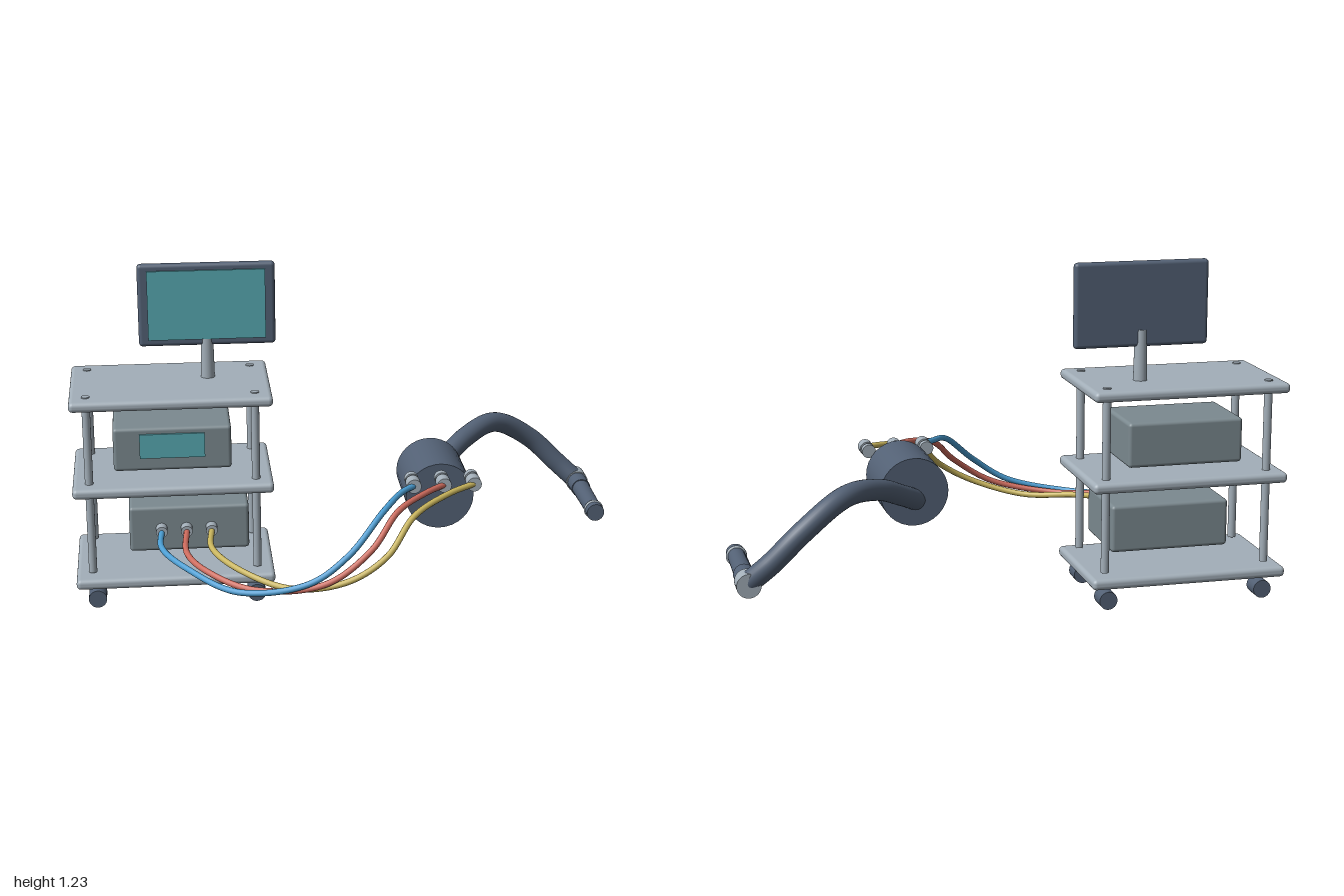
import * as THREE from 'three';
import { RoundedBoxGeometry } from 'three/addons/geometries/RoundedBoxGeometry.js';

const material = (name, color) => {
  const m = new THREE.MeshStandardMaterial({ color });
  m.name = name;
  return m;
};

export function createModel() {
  const model = new THREE.Group();
  model.name = 'equipmentCartWithArm';

  const lightMetal = material('lightMetal', 0xa3afb9);
  const darkMetal = material('darkMetal', 0x536175);
  const casing = material('casing', 0x7c8a90);
  const display = material('display', 0x58a9b2);
  const blue = material('blueCable', 0x4a9dd2);
  const red = material('redCable', 0xcc6a5c);
  const yellow = material('yellowCable', 0xc8b45c);

  const add = (name, geometry, mat, x = 0, y = 0, z = 0, parent = model) => {
    const mesh = new THREE.Mesh(geometry, mat);
    mesh.name = name;
    mesh.position.set(x, y, z);
    parent.add(mesh);
    return mesh;
  };
  const group = (name) => {
    const g = new THREE.Group();
    g.name = name;
    model.add(g);
    return g;
  };
  // Box given by its limits on each axis
  const box = (name, mat, [x0, x1], [y0, y1], [z0, z1], r, parent) => add(name,
    r ? new RoundedBoxGeometry(x1 - x0, y1 - y0, z1 - z0, 3, r) : new THREE.BoxGeometry(x1 - x0, y1 - y0, z1 - z0),
    mat, (x0 + x1) / 2, (y0 + y1) / 2, (z0 + z1) / 2, parent);
  // Cylinder along z from z0 (back) to z1 (front)
  const rod = (name, mat, x, y, z0, z1, rBack, rFront = rBack, parent = model) => add(name,
    new THREE.CylinderGeometry(rFront, rBack, z1 - z0, 32).rotateX(Math.PI / 2), mat, x, y, (z0 + z1) / 2, parent);
  const tube = (name, mat, points, radius, sides) => add(name,
    new THREE.TubeGeometry(new THREE.CatmullRomCurve3(points.map((p) => new THREE.Vector3(...p))), 80, radius, sides), mat);

  // Cart frame: shelves, posts and casters
  const cart = group('cart');
  for (const [name, y0, y1] of [['bottomShelf', 0.083, 0.122], ['middleShelf', 0.435, 0.473], ['topShelf', 0.764, 0.801]])
    box(name, lightMetal, [-1, -0.275], [y0, y1], [-0.386, 0.076], 0.016, cart);
  for (const z of [0.008, -0.318]) {
    for (const x of [-0.94, -0.337])
      add('post', new THREE.CylinderGeometry(0.015, 0.015, 0.675, 24), lightMetal, x, 0.4675, z, cart);
    for (const x of [-0.926, -0.342])
      rod('caster', darkMetal, x, 0.033, z - 0.035, z + 0.035, 0.033, 0.033, cart);
  }

  // Monitor on its stand
  const monitor = group('monitor');
  box('monitorBody', darkMetal, [-0.744, -0.247], [0.924, 1.231], [-0.213, -0.181], 0.014, monitor);
  box('monitorScreen', display, [-0.71, -0.283], [0.95, 1.207], [-0.182, -0.174], 0, monitor);
  add('monitorStand', new THREE.CylinderGeometry(0.022, 0.0255, 0.185, 32), lightMetal, -0.497, 0.8925, -0.197, monitor);

  // Two instrument units
  const units = group('instrumentUnits');
  box('upperUnit', casing, [-0.85, -0.423], [0.505, 0.668], [-0.31, -0.019], 0.013, units);
  box('upperUnitDisplay', display, [-0.755, -0.519], [0.555, 0.646], [-0.02, -0.011], 0, units);
  box('lowerUnit', casing, [-0.802, -0.365], [0.196, 0.368], [-0.307, -0.004], 0.013, units);

  // Cables from the lower unit to the drum
  const cables = [
    ['blueCable', blue, -0.685, 0.211, [[-0.687, 0.265, 0.134], [-0.6, 0.246, 0.29], [-0.425, 0.225, 0.465],
      [-0.19, 0.272, 0.527], [-0.05, 0.364, 0.508], [0.083, 0.48, 0.4], [0.163, 0.504, 0.283]]],
    ['redCable', red, -0.594, 0.319, [[-0.597, 0.262, 0.19], [-0.53, 0.245, 0.32], [-0.372, 0.225, 0.45],
      [-0.13, 0.268, 0.524], [0.03, 0.37, 0.487], [0.136, 0.472, 0.385], [0.243, 0.503, 0.3]]],
    ['yellowCable', yellow, -0.503, 0.427, [[-0.507, 0.267, 0.16], [-0.41, 0.245, 0.326], [-0.238, 0.225, 0.455],
      [-0.05, 0.275, 0.524], [0.083, 0.352, 0.503], [0.19, 0.457, 0.4], [0.323, 0.496, 0.3]]],
  ];
  for (const [name, mat, xStart, xEnd, path] of cables) {
    rod('unitPort', lightMetal, xStart, 0.284, -0.006, 0.036, 0.021);
    tube(name, mat, [[xStart, 0.284, 0.02], ...path, [xEnd, 0.507, 0.235]], 0.011, 12);
    rod('plugFront', lightMetal, xEnd, 0.507, 0.196, 0.245, 0.026);
    rod('plugNeck', lightMetal, xEnd, 0.507, 0.178, 0.197, 0.02);
    rod('plugBack', lightMetal, xEnd, 0.507, 0.154, 0.18, 0.025);
  }

  // Drum and curved arm
  rod('drum', darkMetal, 0.32, 0.425, -0.149, 0.134, 0.123);
  tube('curvedArm', darkMetal, [[0.31, 0.39, -0.125], [0.375, 0.43, -0.2], [0.484, 0.487, -0.315], [0.62, 0.501, -0.438],
    [0.77, 0.41, -0.503], [0.88, 0.305, -0.5], [0.955, 0.237, -0.475]], 0.038, 24);

  // Handpiece at the end of the arm
  const handpiece = group('handpiece');
  const hx = 0.957, hy = 0.236;
  rod('elbowCap', lightMetal, hx, hy, -0.513, -0.445, 0.042, 0.042, handpiece);
  rod('handleCollar', darkMetal, hx, hy, -0.447, -0.372, 0.038, 0.037, handpiece);
  rod('handleGrip', darkMetal, hx, hy, -0.374, -0.155, 0.034, 0.031, handpiece);
  rod('handleTip', darkMetal, hx, hy, -0.156, -0.113, 0.033, 0.033, handpiece);
  add('tipRing', new THREE.TorusGeometry(0.029, 0.008, 12, 32), lightMetal, hx, hy, -0.15, handpiece);

  return model;
}
